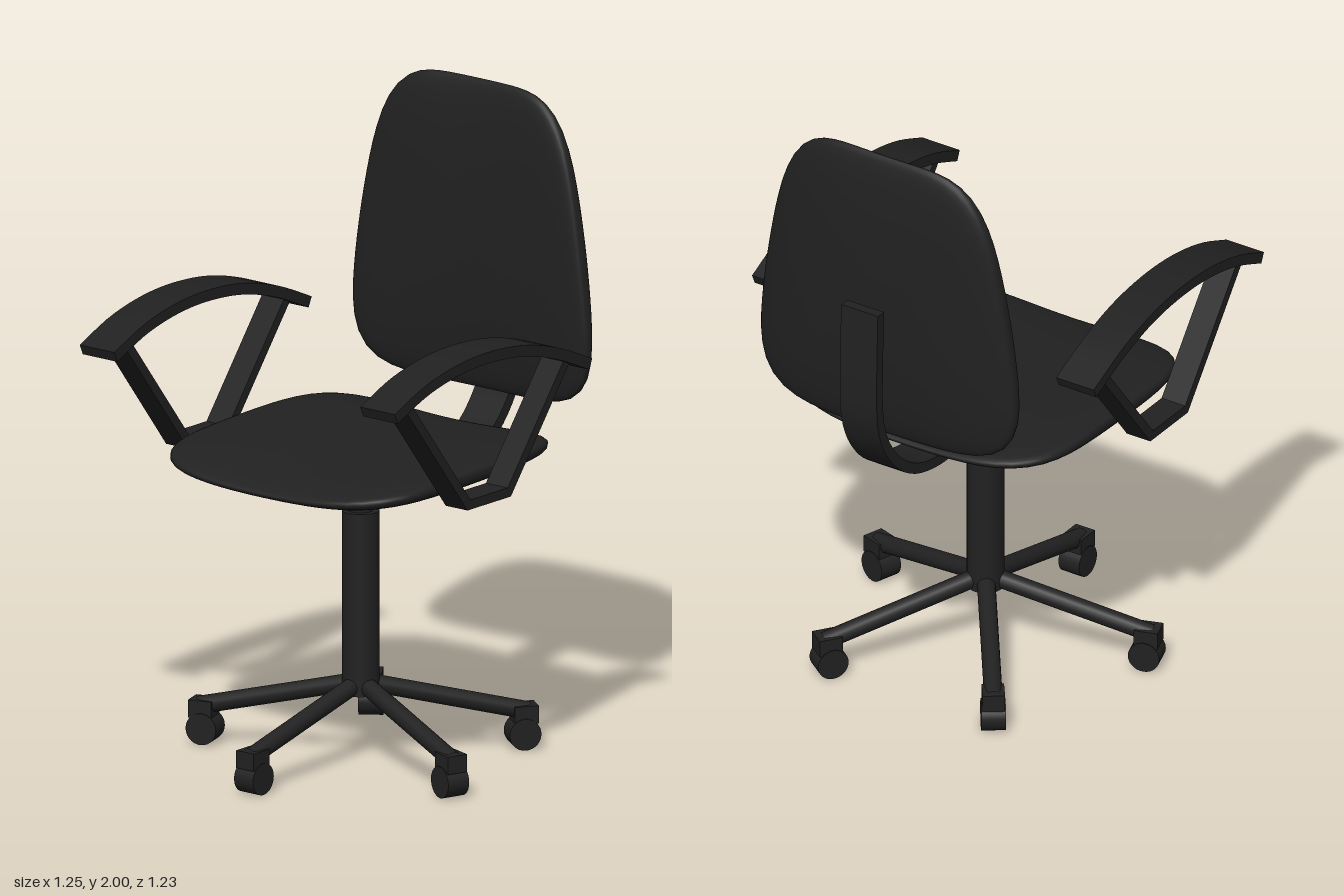
import * as THREE from 'three';
import { mergeVertices, toCreasedNormals } from 'three/addons/utils/BufferGeometryUtils.js';

const black = new THREE.MeshStandardMaterial({ color: 0x212121 });
black.name = 'black';

function add(parent, name, geometry, x = 0, y = 0, z = 0) {
  const mesh = new THREE.Mesh(geometry, black);
  mesh.name = name;
  mesh.position.set(x, y, z);
  parent.add(mesh);
  return mesh;
}

// Cushion: a sphere whose equator is squared off; place(u, h, v) returns the final position.
function cushion(n, halfThickness, place) {
  let g = new THREE.SphereGeometry(1, 72, 36);
  g.deleteAttribute('uv');
  g.deleteAttribute('normal');
  g = mergeVertices(g, 1e-4);
  const p = g.attributes.position;
  for (let i = 0; i < p.count; i++) {
    const x = p.getX(i), y = p.getY(i), z = p.getZ(i);
    const a = Math.atan2(z, x), r = Math.hypot(x, z);
    const c = Math.cos(a), s = Math.sin(a);
    const k = r * Math.pow(Math.abs(c) ** n + Math.abs(s) ** n, -1 / n);
    // fuller edges towards the sides
    const h = Math.sign(y) * Math.abs(y) ** (1 - 0.45 * s * s) * halfThickness;
    p.setXYZ(i, ...place(k * c, h, k * s));
  }
  g.computeVertexNormals();
  return g;
}

// Flat bar following a path in the xy plane, with mitred corners, centred in z.
function bar(points, thickness, width, smooth) {
  let pts = points.map(([x, y]) => new THREE.Vector2(x, y));
  if (smooth) pts = new THREE.SplineCurve(pts).getSpacedPoints(28);
  const left = [], right = [];
  pts.forEach((q, i) => {
    const before = q.clone().sub(pts[Math.max(i - 1, 0)]).normalize();
    const after = pts[Math.min(i + 1, pts.length - 1)].clone().sub(q).normalize();
    const t = before.clone().add(after).normalize();
    const mitre = thickness / 2 / t.dot(i ? before : after);
    const off = new THREE.Vector2(-t.y, t.x).multiplyScalar(mitre);
    left.push(q.clone().add(off));
    right.unshift(q.clone().sub(off));
  });
  const g = new THREE.ExtrudeGeometry(new THREE.Shape([...left, ...right]), { depth: width, bevelEnabled: false });
  g.translate(0, 0, -width / 2);
  return toCreasedNormals(g, 0.5);
}

export function createModel() {
  const chair = new THREE.Group();
  chair.name = 'officeChair';
  const cx = -0.07, cz = 0.02;

  // Seat: dished across its width, slightly tilted
  add(chair, 'seat', cushion(4.3, 0.051, (u, h, v) =>
    [-0.053 + 0.467 * u, 0.933 + h + 0.035 * v * v + 0.014 * u, 0.48 * v]));

  // Backrest: tapers to the top, sides wrap forward
  add(chair, 'backrest', cushion(5, 0.052, (u, h, v) => {
    const z = 0.47 * v * (0.92 - 0.16 * u - 0.06 * u * u);
    return [0.513 - h - 0.15 * z * z, 1.518 + 0.482 * u, z];
  }));

  // Curved support behind the backrest
  add(chair, 'backSupport', bar([
    [0.215, 0.835], [0.3, 0.84], [0.4, 0.867], [0.49, 0.925], [0.56, 1.01],
    [0.598, 1.1], [0.609, 1.2], [0.607, 1.35], [0.602, 1.505],
  ], 0.034, 0.132, true), 0, 0, cz);

  // Armrests
  for (const side of [1, -1]) {
    const arm = new THREE.Group();
    arm.name = side > 0 ? 'leftArmrest' : 'rightArmrest';
    arm.position.z = side * 0.548;
    chair.add(arm);
    add(arm, 'armPad', bar([
      [-0.62, 1.285], [-0.48, 1.342], [-0.33, 1.375], [-0.18, 1.384],
      [-0.02, 1.37], [0.14, 1.328], [0.296, 1.262],
    ], 0.035, 0.135, true));
    add(arm, 'armStrut', bar([
      [-0.545, 1.315], [-0.245, 0.932], [-0.055, 0.932], [0.225, 1.295],
    ], 0.03, 0.085, false), 0, 0, side * -0.002);
  }

  // Gas lift column
  add(chair, 'lowerColumn', new THREE.CylinderGeometry(0.057, 0.057, 0.57, 32), cx, 0.495, cz);
  add(chair, 'upperColumn', new THREE.CylinderGeometry(0.038, 0.038, 0.18, 32), cx, 0.85, cz);

  // Five legs with casters
  for (let i = 0; i < 5; i++) {
    const leg = new THREE.Group();
    leg.name = 'leg' + (i + 1);
    leg.position.set(cx, 0, cz);
    leg.rotation.y = Math.PI + i * Math.PI * 2 / 5;
    chair.add(leg);
    const from = new THREE.Vector3(0, 0.247, 0), to = new THREE.Vector3(0.52, 0.118, 0);
    add(leg, 'legTube', new THREE.TubeGeometry(new THREE.LineCurve3(from, to), 1, 0.028, 16));
    add(leg, 'casterFork', new THREE.BoxGeometry(0.075, 0.055, 0.068), 0.508, 0.112, 0);
    const wheel = new THREE.CylinderGeometry(0.049, 0.049, 0.074, 28);
    wheel.rotateX(Math.PI / 2);
    add(leg, 'casterWheel', wheel, 0.503, 0.052, 0);
  }
  return chair;
}
